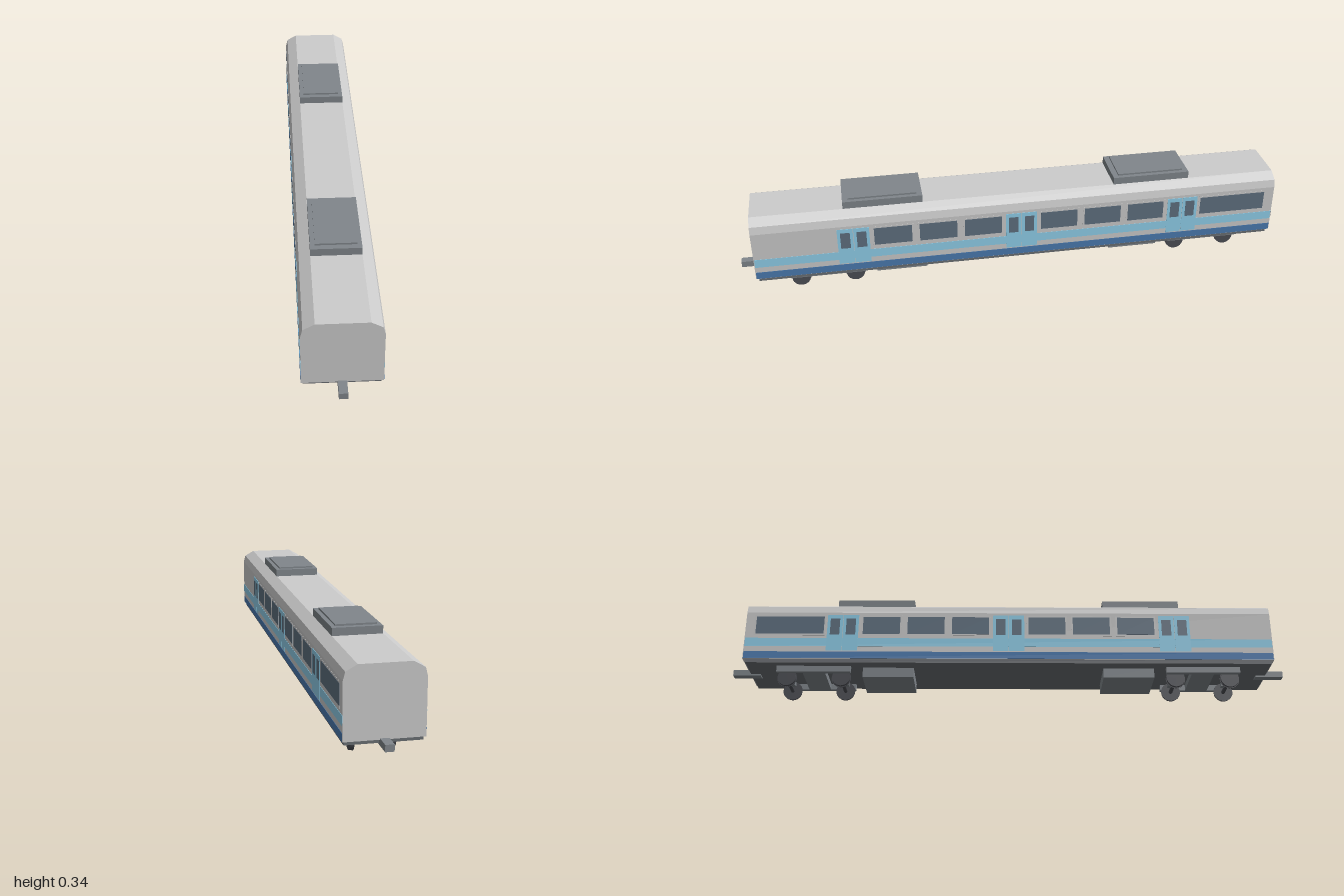
import * as THREE from 'three';

const mat = (color) => new THREE.MeshStandardMaterial({ color });

export function createModel() {
  const model = new THREE.Group();
  const grey = mat(0xcccccc), unitGrey = mat(0x80868b), under = mat(0x6a6e73);
  const wheelDark = mat(0x4c4e54), lightBlue = mat(0x8fcfea), darkBlue = mat(0x4a7ab0);
  const glass = mat(0x5f7080);

  // Box given by its ranges on each axis
  const box = (name, material, x0, x1, y0, y1, z0, z1, parent = model) => {
    const g = new THREE.BoxGeometry(Math.abs(x1 - x0), y1 - y0, Math.abs(z1 - z0));
    const m = new THREE.Mesh(g, material);
    m.name = name;
    m.position.set((x0 + x1) / 2, (y0 + y1) / 2, (z0 + z1) / 2);
    parent.add(m);
    return m;
  };

  // Car body: chamfered cross-section swept along z
  const half = [[0.125, 0.083], [0.125, 0.265], [0.118, 0.292], [0.082, 0.312]];
  const outline = [...half, ...half.map(([x, y]) => [-x, y]).reverse()];
  const section = new THREE.Shape(outline.map(([x, y]) => new THREE.Vector2(x, y)));
  const bodyGeo = new THREE.ExtrudeGeometry(section, { depth: 1.89, bevelEnabled: false });
  bodyGeo.translate(0, 0, -0.945);
  const body = new THREE.Mesh(bodyGeo, grey);
  body.name = 'carBody';
  model.add(body);
  box('underframe', under, -0.119, 0.119, 0.07, 0.084, -0.935, 0.935);

  // Side panels, the same on both sides
  const windows = [[0.385, 0.53], [0.225, 0.37], [0.065, 0.21], [-0.21, -0.065],
    [-0.37, -0.225], [-0.53, -0.385], [-0.914, -0.658]];
  for (const s of [1, -1]) {
    const side = new THREE.Group();
    side.name = s > 0 ? 'leftSide' : 'rightSide';
    model.add(side);
    const panel = (name, material, out, y0, y1, z0, z1) =>
      box(name, material, s * 0.122, s * (0.125 + out), y0, y1, z0, z1, side);
    panel('lowerStripe', darkBlue, 0.001, 0.084, 0.11, -0.943, 0.943);
    panel('upperStripe', lightBlue, 0.001, 0.131, 0.163, -0.943, 0.943);
    for (const [z0, z1] of windows) {
      panel('windowFrame', grey, 0.0006, 0.174, 0.254, z0, z1);
      panel('windowPane', glass, 0.0012, 0.18, 0.248, z0 + 0.006, z1 - 0.006);
    }
    // Double-leaf doors, each leaf with a narrow pane
    for (const z of [0.596, 0, -0.596]) {
      for (const d of [-1, 1]) {
        const c = z + d * 0.0285;
        panel('doorLeaf', lightBlue, 0.0014, 0.114, 0.255, c - 0.0275, c + 0.0275);
        panel('doorPane', glass, 0.002, 0.177, 0.24, c - 0.017, c + 0.017);
      }
    }
  }

  for (const e of [1, -1]) {
    // Roof unit with raised lid
    box('roofUnit', unitGrey, -0.082, 0.082, 0.308, 0.338, e * 0.345, e * 0.624);
    box('roofUnitLid', unitGrey, -0.067, 0.067, 0.338, 0.344, e * 0.365, e * 0.604);
    // Equipment box below the floor
    box('equipmentBox', unitGrey, -0.075, 0.075, 0.034, 0.071, e * 0.34, e * 0.522);
    box('coupler', unitGrey, -0.014, 0.014, 0.065, 0.087, e * 0.9, e * 1.0);

    // Bogie: side beams, bolster and two wheelsets
    const bogie = new THREE.Group();
    bogie.name = 'bogie';
    bogie.position.z = e * 0.696;
    model.add(bogie);
    for (const s of [1, -1])
      box('sideBeam', unitGrey, s * 0.074, s * 0.09, 0.048, 0.071, -0.132, 0.132, bogie);
    box('bolster', unitGrey, -0.076, 0.076, 0.048, 0.071, -0.04, 0.04, bogie);
    for (const z of [-0.097, 0.097]) {
      const wheelset = new THREE.Group();
      wheelset.name = 'wheelset';
      wheelset.position.set(0, 0.035, z);
      bogie.add(wheelset);
      const disc = (name, r, len, x) => {
        const m = new THREE.Mesh(new THREE.CylinderGeometry(r, r, len, 24), wheelDark);
        m.name = name;
        m.rotation.z = Math.PI / 2;
        m.position.x = x;
        wheelset.add(m);
      };
      disc('axle', 0.007, 0.13, 0);
      for (const s of [1, -1]) {
        disc('wheel', 0.0325, 0.011, s * 0.0655);
        disc('wheelFlange', 0.035, 0.002, s * 0.06);
      }
      box('axleGearbox', unitGrey, -0.011, 0.011, -0.004, 0.013, -0.02, 0.02, wheelset);
    }
  }
  return model;
}
